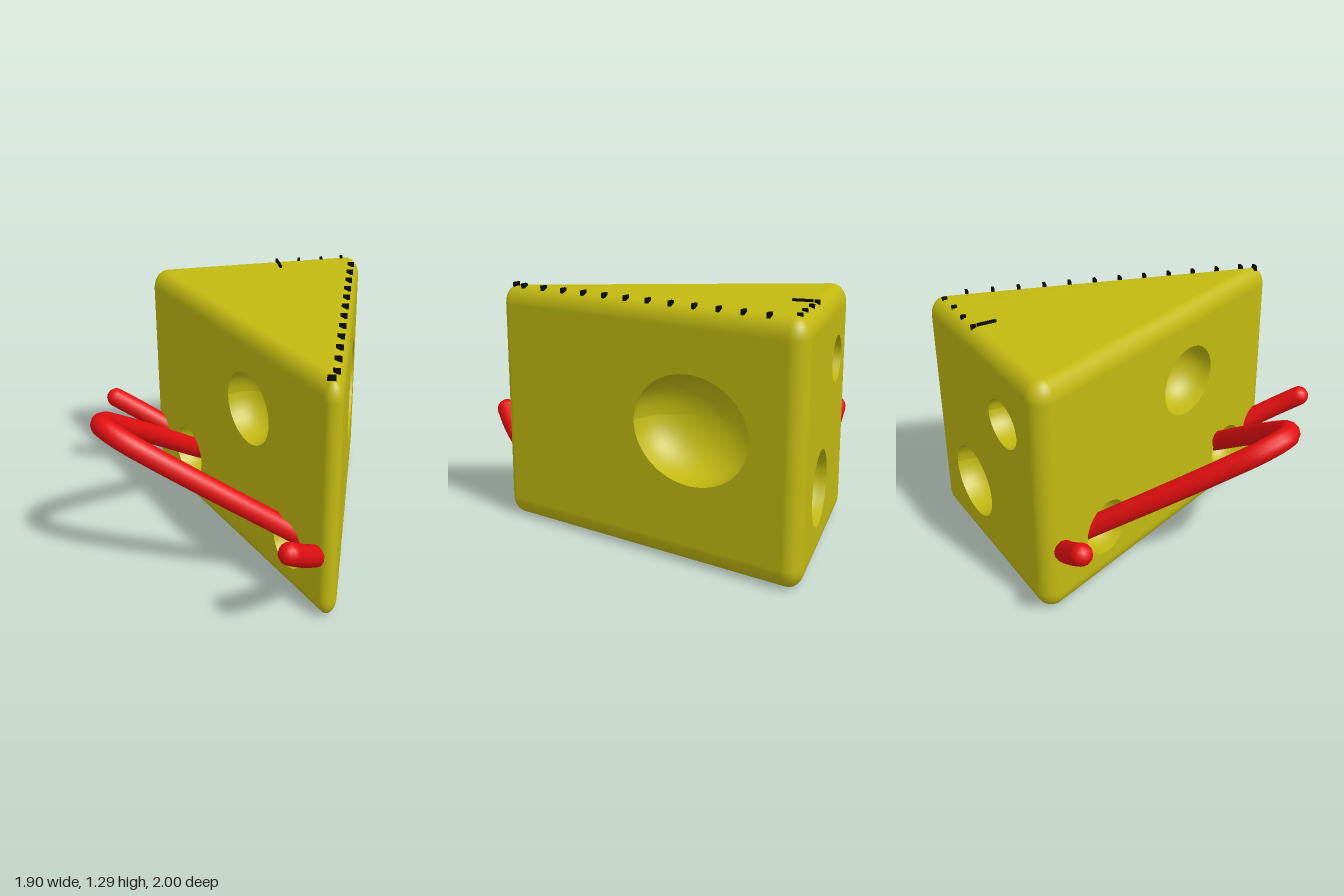
import * as THREE from 'three';

const H = 1.275, BEVEL = 0.1, INSET = 0.075, ARC = 8;

// plan corners, counter-clockwise from above: front tip, right, back left
const corners = [
  { x: -0.19, z: 0.984, r: 0.05 },
  { x: 0.999, z: -0.538, r: 0.075 },
  { x: -0.19, z: -0.946, r: 0.085 },
];

// outward normal angle of the side that starts at corner i
function sideAngle(i) {
  const p = corners[i], q = corners[(i + 1) % 3];
  return Math.atan2(q.x - p.x, -(q.z - p.z));
}

// rounded triangle, moved inward by d
function ringPoints(d) {
  const pts = [];
  corners.forEach((c, i) => {
    const a0 = sideAngle((i + 2) % 3), a1 = sideAngle(i);
    let sweep = a1 - a0;
    while (sweep > 0) sweep -= Math.PI * 2;
    while (sweep < -Math.PI * 2) sweep += Math.PI * 2;
    const r = Math.max(c.r - d, 0.012);
    const k = (d + r) / (1 + Math.cos(sweep));
    const cx = c.x - (Math.cos(a0) + Math.cos(a1)) * k;
    const cz = c.z - (Math.sin(a0) + Math.sin(a1)) * k;
    for (let j = 0; j <= ARC; j++) {
      const a = a0 + sweep * j / ARC;
      pts.push([cx + r * Math.cos(a), cz + r * Math.sin(a)]);
    }
  });
  return pts;
}

// rounded shell of the wedge, leaving the three flat sides open for panels
function shellGeometry() {
  const levels = [], steps = 7;
  for (let t = 0; t <= steps; t++) {
    const a = t / steps * Math.PI / 2;
    levels.push([INSET * (1 - Math.sin(a)), BEVEL * (1 - Math.cos(a))]);
  }
  for (let t = steps; t >= 0; t--) levels.push([levels[t][0], H - levels[t][1]]);
  const pos = [], all = [], open = [], n = 3 * (ARC + 1);
  for (const [d, y] of levels) for (const [x, z] of ringPoints(d)) pos.push(x, y, z);
  for (let k = 0; k < levels.length - 1; k++) {
    for (let i = 0; i < n; i++) {
      const j = (i + 1) % n;
      const a = k * n + i, b = k * n + j, c = b + n, d = a + n;
      const quad = [a, b, c, a, c, d];
      all.push(...quad);
      if (!(k === steps && i % (ARC + 1) === ARC)) open.push(...quad);
    }
  }
  const low = pos.length / 3, top = (levels.length - 1) * n;
  pos.push(0.2, 0, -0.17, 0.2, H, -0.17);
  for (let i = 0; i < n; i++) {
    const j = (i + 1) % n;
    const fans = [low, j, i, low + 1, top + i, top + j];
    all.push(...fans);
    open.push(...fans);
  }
  const g = new THREE.BufferGeometry();
  g.setAttribute('position', new THREE.Float32BufferAttribute(pos, 3));
  g.setIndex(all);
  g.computeVertexNormals();
  g.setIndex(open);
  return g;
}

// hollow bowl opening toward +z
function bowlGeometry(a, b, depth) {
  const g = new THREE.SphereGeometry(1, 32, 14, 0, Math.PI * 2, 0, Math.PI / 2);
  g.rotateX(Math.PI / 2);
  const p = g.attributes.position;
  for (let i = 0; i < p.count; i++) p.setZ(i, Math.pow(Math.max(p.getZ(i), 0), 0.8));
  g.scale(a, b, -depth);
  g.computeVertexNormals();
  return g;
}

// holes of each side: world x, z, height, half width, half height, depth
const holes = [
  [[0.61, -0.05, 0.68, 0.335, 0.275, 0.27]],
  [[0.16, -0.81, 0.93, 0.15, 0.12, 0.18], [0.56, -0.68, 0.37, 0.215, 0.19, 0.2]],
  [[-0.19, 0.18, 0.86, 0.2, 0.19, 0.2], [-0.19, -0.49, 0.3, 0.15, 0.15, 0.18],
    [-0.19, 0.56, 0.27, 0.13, 0.13, 0.13]],
];

export function createModel() {
  const cheese = new THREE.MeshStandardMaterial({ color: 0xc2b911 });
  cheese.name = 'cheese yellow';
  const red = new THREE.MeshStandardMaterial({ color: 0xe50f10 });
  red.name = 'cord red';
  const black = new THREE.MeshStandardMaterial({ color: 0x080808 });
  black.name = 'mark black';

  const model = new THREE.Group();
  model.name = 'cheeseWedge';
  const add = (parent, geometry, material, name) => {
    const m = new THREE.Mesh(geometry, material);
    m.name = name;
    parent.add(m);
    return m;
  };

  add(model, shellGeometry(), cheese, 'wedgeShell');

  // flat sides with their hollows
  const outline = ringPoints(0);
  holes.forEach((list, s) => {
    const p = outline[s * (ARC + 1) + ARC], q = outline[((s + 1) % 3) * (ARC + 1)];
    const len = Math.hypot(q[0] - p[0], q[1] - p[1]);
    const ux = (q[0] - p[0]) / len, uz = (q[1] - p[1]) / len;
    const side = new THREE.Group();
    side.name = ['frontSide', 'backSide', 'leftFlatSide'][s];
    side.position.set(p[0], 0, p[1]);
    side.rotation.y = Math.atan2(-uz, ux);
    model.add(side);
    const shape = new THREE.Shape([[0, BEVEL], [len, BEVEL], [len, H - BEVEL], [0, H - BEVEL]]
      .map(([x, y]) => new THREE.Vector2(x, y)));
    for (const [x, z, y, a, b, depth] of list) {
      const u = (x - p[0]) * ux + (z - p[1]) * uz;
      shape.holes.push(new THREE.Path().absellipse(u, y, a, b, 0, Math.PI * 2, false));
      add(side, bowlGeometry(a, b, depth), cheese, 'hollow').position.set(u, y, 0);
    }
    add(side, new THREE.ShapeGeometry(shape, 16), cheese, 'sidePanel');
  });

  // red cord, lying in one tilted plane
  const R = 0.055;
  const onPlane = ([x, z]) => new THREE.Vector3(x, 0.345 - (x + 0.19) * 0.74, z);
  const cord = (pts, segments, name) => {
    const curve = new THREE.CatmullRomCurve3(pts.map(onPlane));
    return add(model, new THREE.TubeGeometry(curve, segments, R, 12), red, name);
  };
  const half = [[-0.05, 0.56], [-0.19, 0.488], [-0.45, 0.362], [-0.7, 0.222], [-0.84, 0.115]];
  cord([...half, [-0.893, 0], ...half.map(([x, z]) => [x, -z]).reverse()], 64, 'cordLoop');
  for (const s of [-1, 1]) {
    const path = [[-0.08, 0.73], [-0.19, 0.81], [-0.32, 0.895], [-0.425, 0.945]];
    cord(path.map(([x, z]) => [x, z * s]), 16, 'cordEnd');
    add(model, new THREE.SphereGeometry(R, 12, 8), red, 'cordTip')
      .position.copy(onPlane([-0.425, 0.945 * s]));
  }

  // small scale marks along the top edges
  const mark = (x, z, length, angle, name) => {
    const m = add(model, new THREE.BoxGeometry(length, 0.026, 0.014), black, name);
    m.position.set(x, H - 0.001, z);
    m.rotation.y = angle;
  };
  for (let i = 0; i < 12; i++) mark(0.83 - i * 0.0832, -0.39 + i * 0.1066, 0.036, -0.6, 'frontMark');
  mark(-0.145, 0.83, 0.04, -0.6, 'tipMark');
  for (const [x, z] of [[0.5, -0.655], [0.62, -0.61], [0.74, -0.56], [0.855, -0.52]]) {
    mark(x, z, 0.026, 1.1, 'backMark');
  }
  mark(0.475, -0.59, 0.1, 1.2, 'longMark');

  return model;
}
